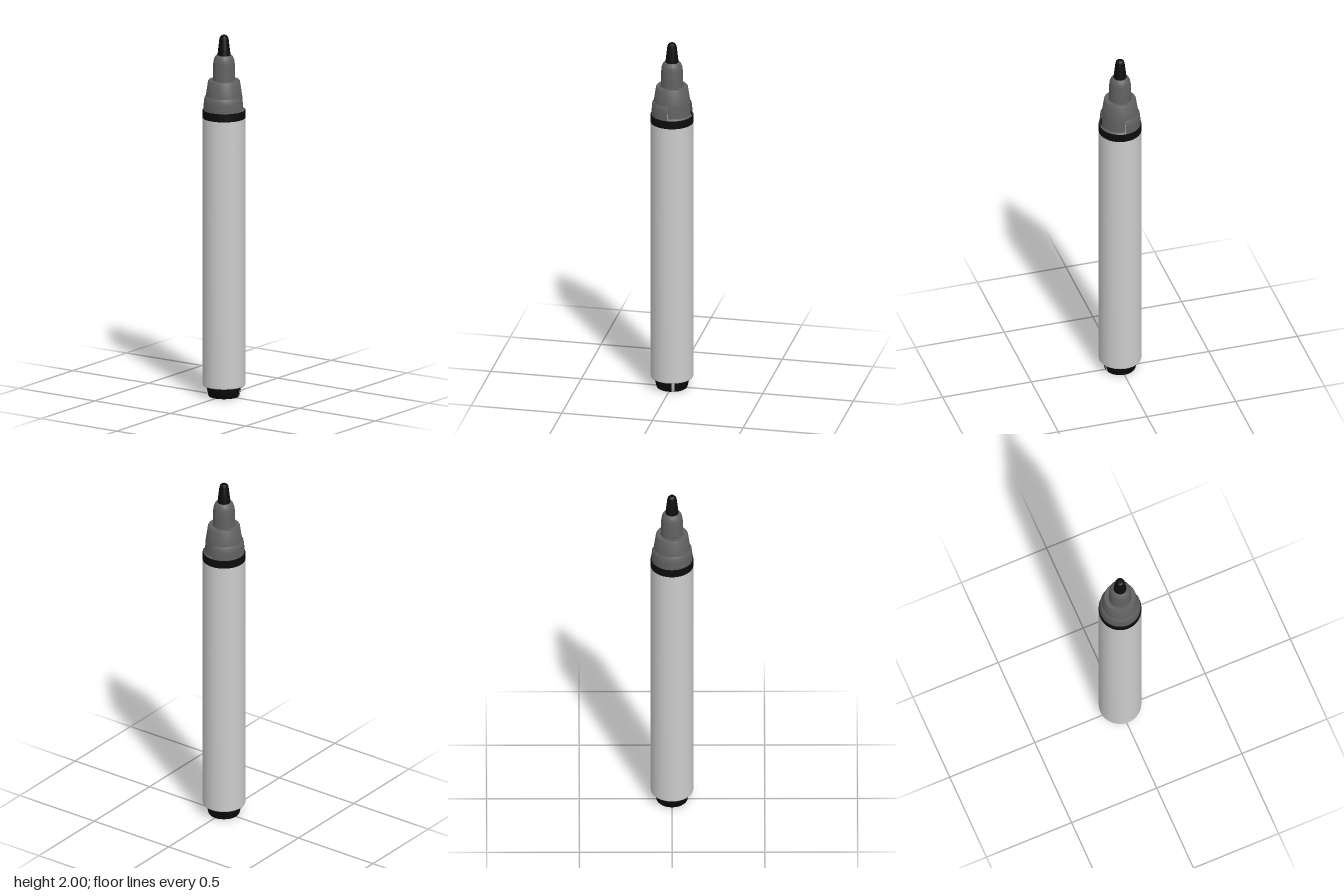
import * as THREE from 'three';
import { toCreasedNormals } from 'three/addons/utils/BufferGeometryUtils.js';

const GREY = 0xcccccc, DARK = 0x606060, BLACK = 0x0c0c0c;
const DEG = Math.PI / 180;

// Turned part from [radius, height] points running upward; start and sweep in degrees from +z towards +x
function turned(name, color, profile, start = 0, sweep = 360) {
  const points = profile.map(([r, y]) => new THREE.Vector2(r, y));
  const segments = Math.max(2, Math.round(sweep / 7.5));
  const geometry = new THREE.LatheGeometry(points, segments, start * DEG, sweep * DEG);
  const material = new THREE.MeshStandardMaterial({ color, side: THREE.DoubleSide });
  const mesh = new THREE.Mesh(toCreasedNormals(geometry, 30 * DEG), material);
  mesh.name = name;
  return mesh;
}

export function createModel() {
  const marker = new THREE.Group();
  marker.name = 'marker';

  // End plug: black wall with a narrow light slot, and a light base
  const plugWall = [[0.081, 0], [0.084, 0.004], [0.097, 0.062]];
  marker.add(
    turned('plugBase', GREY, [[0, 0], [0.081, 0]]),
    turned('plugWall', BLACK, plugWall, 111, 350),
    turned('plugSlot', GREY, plugWall, 101, 10),
  );

  // Barrel and the ring at its upper end
  marker.add(
    turned('barrel', GREY, [[0.09, 0.06], [0.112, 0.06], [0.115, 0.065], [0.115, 1.543]]),
    turned('ring', BLACK, [[0.115, 1.543], [0.115, 1.587], [0.1, 1.587]]),
  );

  // Collar with a shallow recess in one quarter
  marker.add(
    turned('collar', DARK, [[0.111, 1.587], [0.109, 1.63], [0.106, 1.655], [0.1, 1.664], [0.095, 1.664]], 180, 270),
    turned('collarRecess', DARK, [[0.111, 1.587], [0.104, 1.595], [0.098, 1.664]], 90, 90),
  );

  // Tapered shoulder and the neck holding the nib
  marker.add(
    turned('shoulder', DARK, [[0.099, 1.66], [0.086, 1.748], [0.083, 1.752], [0.055, 1.752]]),
    turned('neck', DARK, [[0.061, 1.75], [0.058, 1.845], [0.055, 1.865], [0.049, 1.88], [0.04, 1.89], [0.03, 1.89]]),
  );

  // Nib
  marker.add(turned('nib', BLACK, [[0.036, 1.885], [0.025, 1.98], [0.021, 1.992], [0.013, 1.999], [0, 2]]));

  return marker;
}
